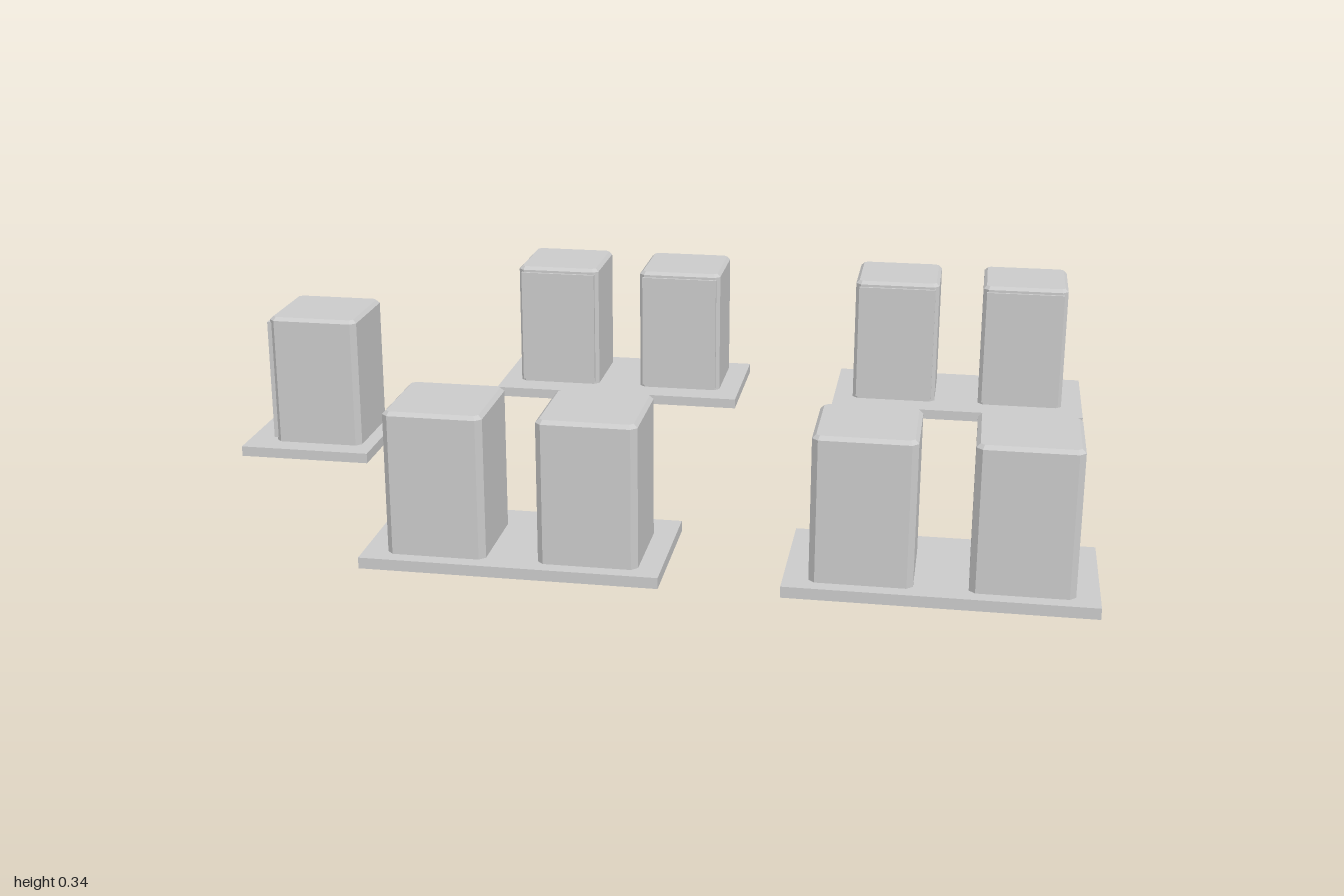
import * as THREE from 'three';

const material = new THREE.MeshStandardMaterial({ color: 0xcccccc, flatShading: true });

// Box with every edge chamfered by c, standing on y = 0
function chamferedBox(w, h, d, c) {
  const x = w / 2 - c, z = d / 2 - c; // the bevel adds c all round
  const outline = new THREE.Shape([
    [x - c, -z], [x, -z + c], [x, z - c], [x - c, z],
    [-x + c, z], [-x, z - c], [-x, -z + c], [-x + c, -z],
  ].map(([px, py]) => new THREE.Vector2(px, py)));
  const geometry = new THREE.ExtrudeGeometry(outline, {
    depth: h - 2 * c, bevelEnabled: true, bevelSize: c, bevelThickness: c, bevelSegments: 1,
  });
  geometry.rotateX(-Math.PI / 2);
  geometry.translate(0, c, 0);
  return geometry;
}

const cabinetGeometry = chamferedBox(0.21, 0.344, 0.213, 0.008);
const doorGeometry = new THREE.BoxGeometry(0.192, 0.29, 0.012);

function addMesh(parent, name, geometry, x, y, z) {
  const mesh = new THREE.Mesh(geometry, material);
  mesh.name = name;
  mesh.position.set(x, y, z);
  parent.add(mesh);
}

// Cabinets on a plinth slab, doors facing +z
function cabinetUnit(name, offsets, plinthWidth, plinthX) {
  const unit = new THREE.Group();
  unit.name = name;
  addMesh(unit, 'plinth', new THREE.BoxGeometry(plinthWidth, 0.024, 0.312), plinthX, 0.021, 0.018);
  for (const x of offsets) {
    addMesh(unit, 'cabinet', cabinetGeometry, x, 0, 0);
    addMesh(unit, 'door', doorGeometry, x, 0.185, 0.107);
  }
  return unit;
}

export function createModel() {
  const model = new THREE.Group();
  model.name = 'cabinetYard';

  // Two facing rows of double cabinets, doors inward
  for (const x of [-0.195, 0.684]) {
    const back = cabinetUnit('backPair', [-0.16, 0.16], 0.63, 0.002);
    back.position.set(x, 0, -0.596);
    const front = cabinetUnit('frontPair', [-0.16, 0.16], 0.63, 0.002);
    front.position.set(x, 0, 0.596);
    front.rotation.y = Math.PI;
    model.add(back, front);
  }

  // Single cabinet at the end, door outward
  const single = cabinetUnit('singleCabinet', [0], 0.312, 0);
  single.position.set(-0.826, 0, -0.027);
  single.rotation.y = -Math.PI / 2;
  model.add(single);

  return model;
}
